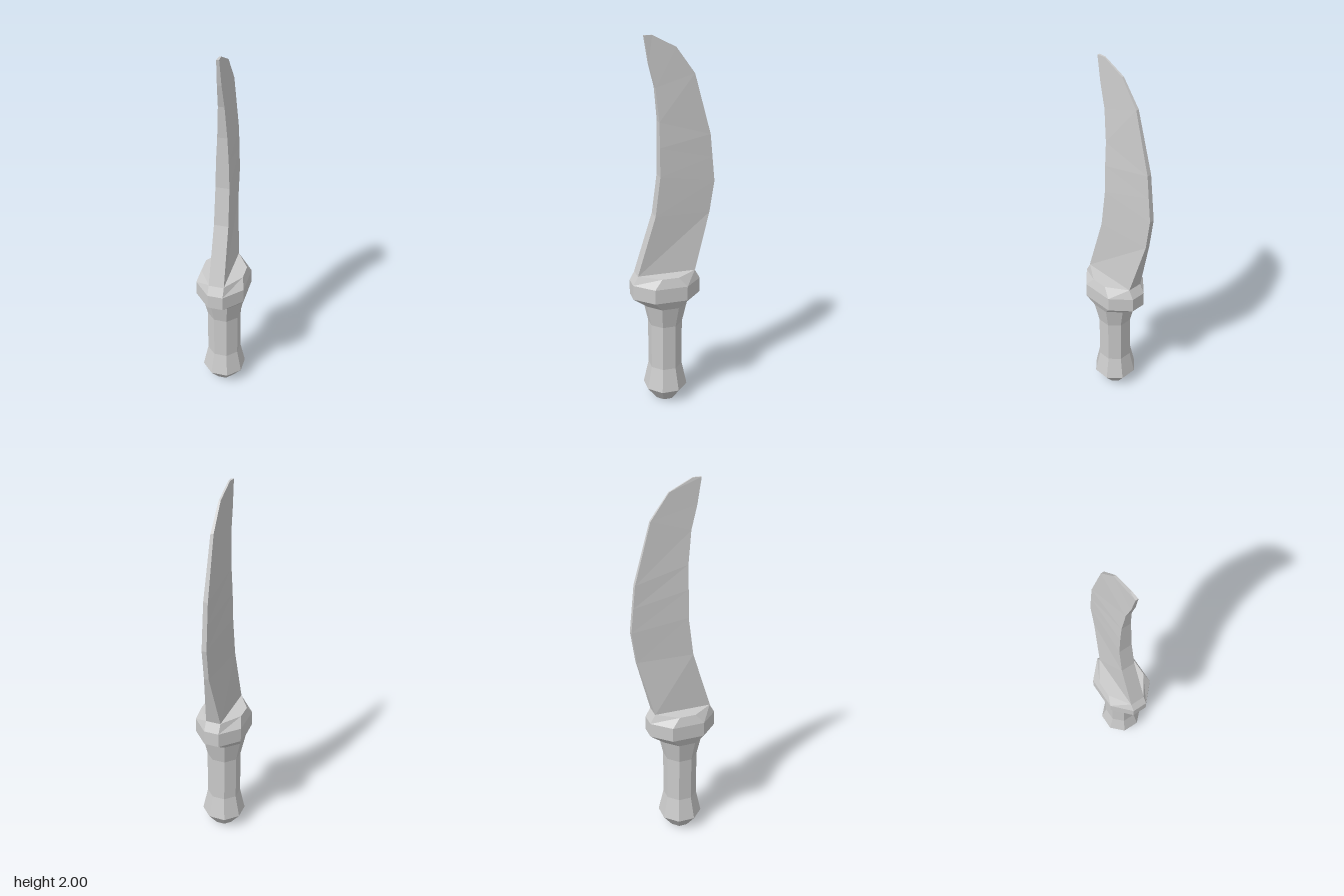
import * as THREE from 'three';

const material = new THREE.MeshStandardMaterial({ color: 0xcccccc, flatShading: true });

// Skins a stack of rings (bottom to top, anticlockwise from above) and caps both ends
function loft(name, rings) {
  const pos = [];
  const tri = (...pts) => pts.forEach((p) => pos.push(...p));
  const n = rings[0].length;
  for (let i = 0; i < rings.length - 1; i++) {
    for (let j = 0; j < n; j++) {
      const k = (j + 1) % n;
      const a = rings[i][j], b = rings[i][k], c = rings[i + 1][k], d = rings[i + 1][j];
      tri(a, b, c);
      tri(a, c, d);
    }
  }
  const bottom = rings[0], top = rings[rings.length - 1];
  for (let j = 1; j < n - 1; j++) {
    tri(bottom[0], bottom[j + 1], bottom[j]);
    tri(top[0], top[j], top[j + 1]);
  }
  const geometry = new THREE.BufferGeometry();
  geometry.setAttribute('position', new THREE.Float32BufferAttribute(pos, 3));
  geometry.computeVertexNormals();
  const mesh = new THREE.Mesh(geometry, material);
  mesh.name = name;
  return mesh;
}

// Eight-sided ring: half sizes X and Z, half lengths ax and az of the end flats
function octagon(y, X, Z, ax, az) {
  const c = 0.042;
  return [
    [-ax, Z], [ax, Z], [X, az], [X, -az],
    [ax, -Z], [-ax, -Z], [-X, -az], [-X, az],
  ].map(([x, z]) => [x, y, c + z]);
}

export function createModel() {
  const group = new THREE.Group();
  group.name = 'knife';

  // Waisted grip with a tapered pommel: [height, half width]
  const grip = [[0, 0.055], [0.08, 0.112], [0.21, 0.086], [0.47, 0.086], [0.59, 0.111]];
  group.add(loft('handle', grip.map(([y, r]) => octagon(y, r, r, r * 0.414, r * 0.414))));

  // Elongated guard, flaring out from the grip and bevelled on top
  group.add(loft('guard', [
    octagon(0.59, 0.111, 0.111, 0.046, 0.046),
    octagon(0.64, 0.131, 0.184, 0.041, 0.088),
    octagon(0.72, 0.131, 0.184, 0.041, 0.088),
    octagon(0.77, 0.115, 0.156, 0.041, 0.045),
  ]));

  // Curved blade, thick at the front and thin at the back:
  // [front y, front z, front half width, back y, back z, back half width]
  const sections = [
    [0.768, 0.2, 0.041, 0.768, -0.114, 0.041],
    [1.09, 0.1, 0.038, 1.08, -0.2, 0.013],
    [1.3, 0.073, 0.036, 1.25, -0.225, 0.013],
    [1.45, 0.073, 0.032, 1.38, -0.212, 0.0125],
    [1.58, 0.073, 0.025, 1.5, -0.2, 0.012],
    [1.75, 0.09, 0.016, 1.81, -0.115, 0.008],
    [1.87, 0.121, 0.011, 1.94, -0.02, 0.005],
    [2, 0.143, 0.007, 2, 0.1, 0.004],
  ];
  group.add(loft('blade', sections.map(([fy, fz, fw, by, bz, bw]) => [
    [-fw, fy, fz], [fw, fy, fz], [bw, by, bz], [-bw, by, bz],
  ])));

  return group;
}
